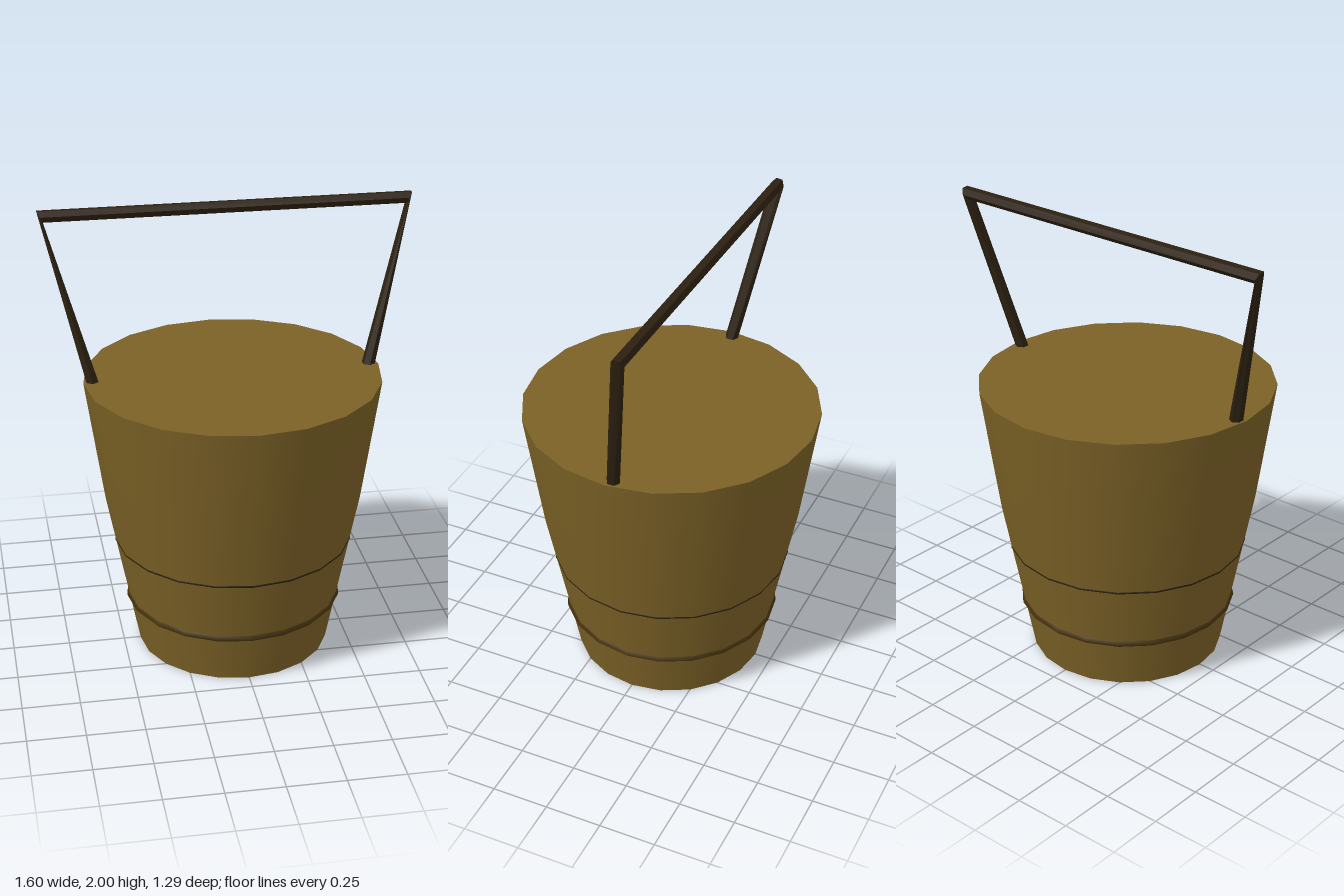
import * as THREE from 'three';

const SIDES = 20;

// Turned part from [radius, height] pairs, listed bottom to top
function turned(name, profile, material) {
  const points = profile.map(([r, y]) => new THREE.Vector2(r, y));
  const mesh = new THREE.Mesh(new THREE.LatheGeometry(points, SIDES), material);
  mesh.name = name;
  return mesh;
}

// Flat disc facing up (dir 1) or down (dir -1)
function disc(name, radius, y, dir, material) {
  const mesh = new THREE.Mesh(new THREE.CircleGeometry(radius, SIDES), material);
  mesh.rotation.x = -dir * Math.PI / 2;
  mesh.position.y = y;
  mesh.name = name;
  return mesh;
}

// Hexagonal rod skinned through rings given by a centre and two half-axes
function skinnedRod(rings, sides = 6) {
  const pos = [], index = [];
  for (const { c, u, v } of rings) {
    for (let j = 0; j < sides; j++) {
      const a = j / sides * Math.PI * 2;
      for (let k = 0; k < 3; k++) pos.push(c[k] + u[k] * Math.sin(a) + v[k] * Math.cos(a));
    }
  }
  for (let i = 0; i < rings.length - 1; i++) {
    for (let j = 0; j < sides; j++) {
      const a = i * sides + j, b = i * sides + (j + 1) % sides;
      index.push(a, b, b + sides, a, b + sides, a + sides);
    }
  }
  const geo = new THREE.BufferGeometry();
  geo.setAttribute('position', new THREE.Float32BufferAttribute(pos, 3));
  geo.setIndex(index);
  const flat = geo.toNonIndexed();
  flat.computeVertexNormals();
  return flat;
}

export function createModel() {
  const wood = new THREE.MeshStandardMaterial({ color: 0x7b6126 });
  wood.name = 'bucketBrown';
  const dark = new THREE.MeshStandardMaterial({ color: 0x2c2010 });
  dark.name = 'handleDarkBrown';
  const band = new THREE.MeshStandardMaterial({ color: 0x49360f });
  band.name = 'hoopBrown';

  const group = new THREE.Group();
  group.name = 'bucket';

  // Flared bucket body, closed at both ends
  group.add(turned('bucketWall', [[0.425, 0], [0.565, 0.72], [0.645, 1.27]], wood));
  group.add(disc('bucketTop', 0.645, 1.27, 1, wood));
  group.add(disc('bucketBase', 0.425, 0, -1, wood));

  // Raised lower hoop and a fine upper hoop
  group.add(turned('lowerHoop', [[0.464, 0.207], [0.481, 0.225], [0.469, 0.243]], band));
  group.add(turned('upperHoop', [[0.523, 0.505], [0.527, 0.51], [0.525, 0.515]], dark));

  // Leaning handle: two legs and a crossbar, mitred at the corners
  const foot = s => ({ c: [s * 0.6, 1.25, -0.017], u: [s * 0.03, 0, 0], v: [0, 0, 0.03] });
  const corner = s => ({ c: [s * 0.79, 1.976, -0.143], u: [s * 0.014, 0.027, -0.004], v: [0, 0.004, 0.029] });
  const handle = new THREE.Mesh(skinnedRod([foot(1), corner(1), corner(-1), foot(-1)]), dark);
  handle.name = 'handle';
  group.add(handle);

  return group;
}
